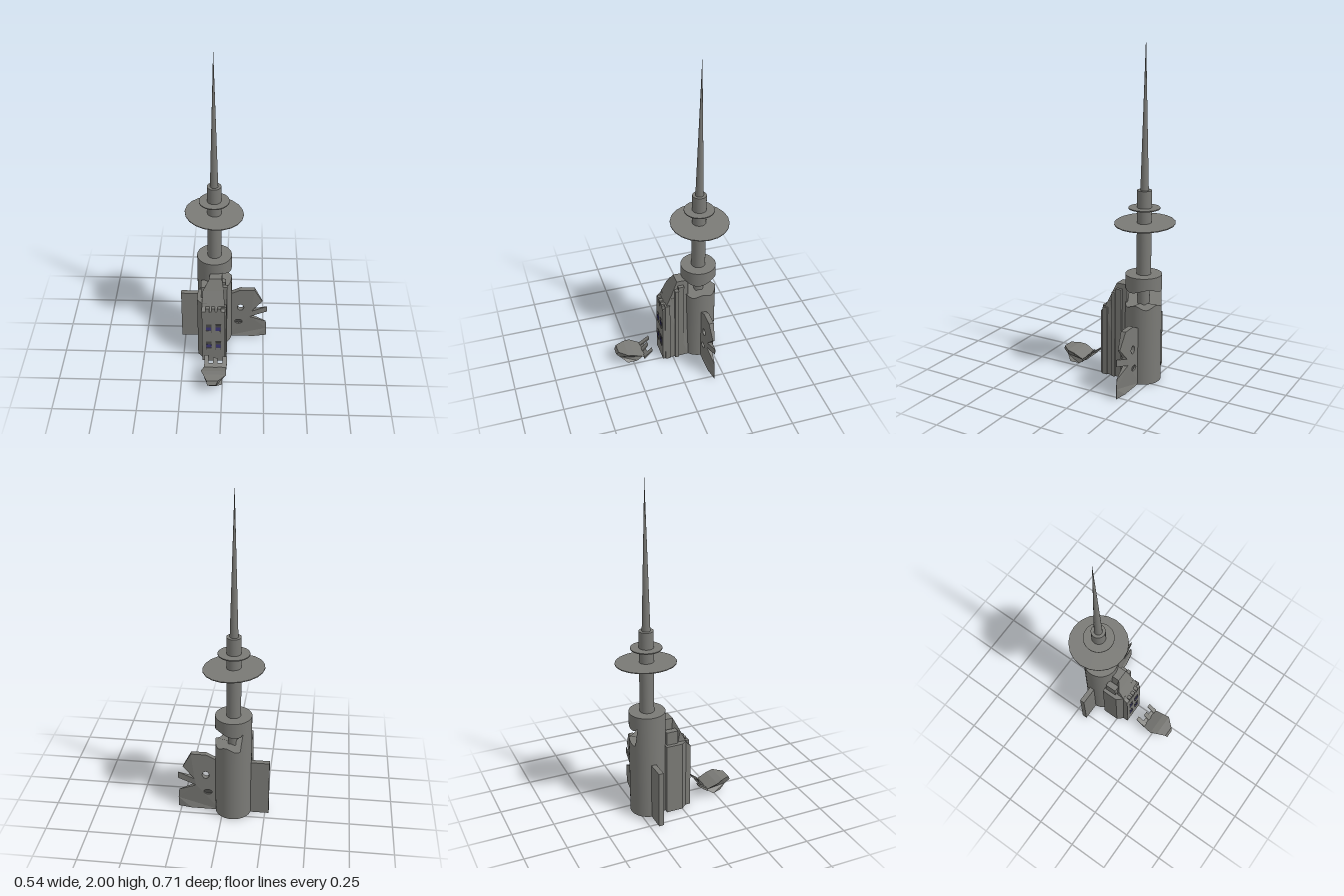
import * as THREE from 'three';

export function createModel() {
  const model = new THREE.Group();
  const stone = new THREE.MeshStandardMaterial({ color: 0x7a7a76 });
  stone.name = 'grey stone';
  const glass = new THREE.MeshStandardMaterial({ color: 0x3c3778 });
  glass.name = 'violet glass';
  const shade = new THREE.MeshStandardMaterial({ color: 0x4a4a48 });
  shade.name = 'dark recess';

  const CX = -0.06, CZ = -0.18;

  function add(name, geometry, x = 0, y = 0, z = 0, material = stone) {
    const mesh = new THREE.Mesh(geometry, material);
    mesh.name = name;
    mesh.position.set(x, y, z);
    model.add(mesh);
    return mesh;
  }
  // Box given by its limits
  function block(name, x0, x1, y0, y1, z0, z1, material) {
    return add(name, new THREE.BoxGeometry(x1 - x0, y1 - y0, z1 - z0),
      (x0 + x1) / 2, (y0 + y1) / 2, (z0 + z1) / 2, material);
  }
  // Applies a rule to every vertex
  function bend(geometry, rule, renormal = true) {
    const p = geometry.attributes.position, v = new THREE.Vector3();
    for (let i = 0; i < p.count; i++) {
      v.fromBufferAttribute(p, i);
      rule(v);
      p.setXYZ(i, v.x, v.y, v.z);
    }
    if (renormal) geometry.computeVertexNormals();
    return geometry;
  }
  const shapeOf = pts => new THREE.Shape(pts.map(p => new THREE.Vector2(p[0], p[1])));
  const extrude = (shape, depth) =>
    new THREE.ExtrudeGeometry(shape, { depth, bevelEnabled: false, curveSegments: 6 });
  // Side profile [z, y] swept across x
  const across = (pts, x0, x1) =>
    extrude(shapeOf(pts.map(([z, y]) => [-z, y])), x1 - x0).rotateY(Math.PI / 2).translate(x0, 0, 0);
  // Floor plan [x, z] raised to a height
  const raise = (pts, h) =>
    extrude(shapeOf(pts.map(([x, z]) => [x, -z])), h).rotateX(-Math.PI / 2);
  // Linear interpolation through [t, value] pairs with rising t
  function lerpTable(table, t) {
    let i = 1;
    while (i < table.length - 1 && t > table[i][0]) i++;
    const [a, va] = table[i - 1], [b, vb] = table[i];
    return THREE.MathUtils.clamp((t - a) / (b - a), 0, 1) * (vb - va) + va;
  }

  // Main tower, broken open on its left flank
  const joined = t => t > 3.75 || t < 0.45;
  const angle = v => (Math.atan2(v.x, v.z) + 2 * Math.PI) % (2 * Math.PI);
  const onRim = v => Math.hypot(v.x, v.z) > 0.05;
  const lower = bend(new THREE.CylinderGeometry(0.106, 0.106, 0.47, 40).translate(0, 0.235, 0), v => {
    if (v.y < 0.4 || !onRim(v)) return;
    const t = angle(v);
    v.y = joined(t) ? 0.575 : 0.472 + 0.012 * Math.sin(t * 5);
  }, false);
  add('towerShaft', lower, CX, 0, CZ);
  const cap = bend(new THREE.CylinderGeometry(0.106, 0.106, 0.075, 40).translate(0, 0.6125, 0), v => {
    if (v.y > 0.6 || !onRim(v)) return;
    const t = angle(v);
    v.y = joined(t) ? 0.575 : 0.568 + 0.012 * Math.sin(t * 3 + 1);
  }, false);
  add('towerCap', cap, CX, 0, CZ);
  add('innerCore', new THREE.CylinderGeometry(0.034, 0.034, 0.14, 20), CX, 0.52, CZ);

  // Mast, discs and needle
  add('mast', new THREE.CylinderGeometry(0.042, 0.042, 0.5, 24), CX, 0.893, CZ);
  add('smallDisc', new THREE.CylinderGeometry(0.09, 0.09, 0.006, 40), CX, 1.04, CZ);
  add('largeDisc', new THREE.CylinderGeometry(0.175, 0.175, 0.005, 20), CX, 0.953, CZ - 0.004)
    .rotation.z = -0.06;
  add('needle', new THREE.ConeGeometry(0.024, 0.857, 20), CX, 1.5715, CZ);

  // Plain fin on the right, damaged fin on the left
  block('rightFin', -0.272, -0.15, 0, 0.347, -0.2, -0.17);
  const finShape = shapeOf([
    [0.02, 0], [0.19, 0], [0.27, 0], [0.27, 0.06], [0.265, 0.118], [0.16, 0.165],
    [0.27, 0.198], [0.27, 0.24], [0.17, 0.208], [0.24, 0.285], [0.19, 0.38],
    [0.1, 0.38], [0.04, 0.35], [0.02, 0.35]]);
  for (const [x, y, rx, ry] of [[0.103, 0.24, 0.021, 0.024], [0.09, 0.122, 0.025, 0.017]]) {
    const hole = new THREE.Path();
    hole.absellipse(x, y, rx, ry, 0, Math.PI * 2, true);
    finShape.holes.push(hole);
  }
  add('leftFin', bend(extrude(finShape, 0.03).translate(0, 0, -0.015), v => {
    v.z *= Math.max(0.04, Math.min(1, (0.272 - v.x) / 0.08));
  }), 0, 0, -0.185);
  block('finDentBack', 0.062, 0.118, 0.1, 0.142, -0.19, -0.18, shade);

  // Front building with a sloping broken roof
  const hall = across([[0.065, 0], [0.065, 0.4], [0.043, 0.42], [0.0, 0.51], [-0.03, 0.58],
    [-0.1, 0.58], [-0.1, 0]], -0.13, 0.01);
  add('frontBuilding', bend(hall, v => {
    const left = lerpTable([[0.42, -0.13], [0.51, -0.125], [0.58, -0.085]], v.y);
    const right = lerpTable([[0.42, 0.01], [0.51, 0.0], [0.58, -0.01]], v.y);
    v.x = v.x < -0.06 ? left : right;
  }));
  // Stepped buttresses down both flanks
  add('rightButtress', raise([[-0.16, -0.1], [-0.16, 0], [-0.13, 0.035], [-0.1, 0.035], [-0.1, -0.1]], 0.44));
  for (const [x, h, z0, z1] of [[0.018, 0.425, 0.02, 0.05], [0.004, 0.47, -0.005, 0.02],
    [0.022, 0.53, -0.035, -0.012], [0.012, 0.55, -0.07, -0.035]]) {
    block('leftButtress', -0.03, x, 0, h, z0, z1);
  }
  block('rightUpperButtress', -0.138, -0.1, 0.4, 0.52, -0.09, -0.02);
  // Broken teeth along the front edge
  for (const x of [-0.095, -0.06, -0.025]) {
    block('wallTooth', x - 0.011, x + 0.011, 0.385, 0.425, 0.045, 0.067);
  }

  // Windows: dark opening, violet pane and sill
  for (const x of [-0.089, -0.031]) {
    for (const y of [0.23, 0.09]) {
      block('windowOpening', x - 0.017, x + 0.017, y, y + 0.07, 0.06, 0.0665, shade);
      block('windowPane', x - 0.015, x + 0.015, y + 0.022, y + 0.048, 0.061, 0.068, glass);
      block('windowSill', x - 0.015, x + 0.015, y, y + 0.02, 0.061, 0.069);
    }
  }

  // Fallen roof fragment in front
  const rubble = across([[0.355, 0.075], [0.343, 0.1], [0.29, 0.1], [0.25, 0.09], [0.185, 0.06],
    [0.165, 0.075], [0.165, 0.06], [0.19, 0.045], [0.23, 0.018], [0.29, 0.018], [0.33, 0.045]], -1, 1);
  add('fallenRoof', bend(rubble, v => {
    const left = lerpTable([[0.16, -0.112], [0.185, -0.115], [0.23, -0.138], [0.29, -0.115], [0.355, -0.088]], v.z);
    const right = lerpTable([[0.16, 0.02], [0.29, 0.025], [0.355, -0.035]], v.z);
    const inset = v.y < 0.055 ? 0.025 : 0;
    v.x = v.x < 0 ? left + inset : right - inset;
  }));
  // Jagged splinters on the fragment's broken edge
  for (const [x0, x1, z] of [[-0.113, -0.087, 0.127], [-0.06, -0.032, 0.15], [-0.001, 0.025, 0.136]]) {
    add('roofSplinter', across([[0.19, 0.062], [z, 0.105], [z + 0.004, 0.092], [0.19, 0.045]], x0, x1));
  }

  return model;
}
